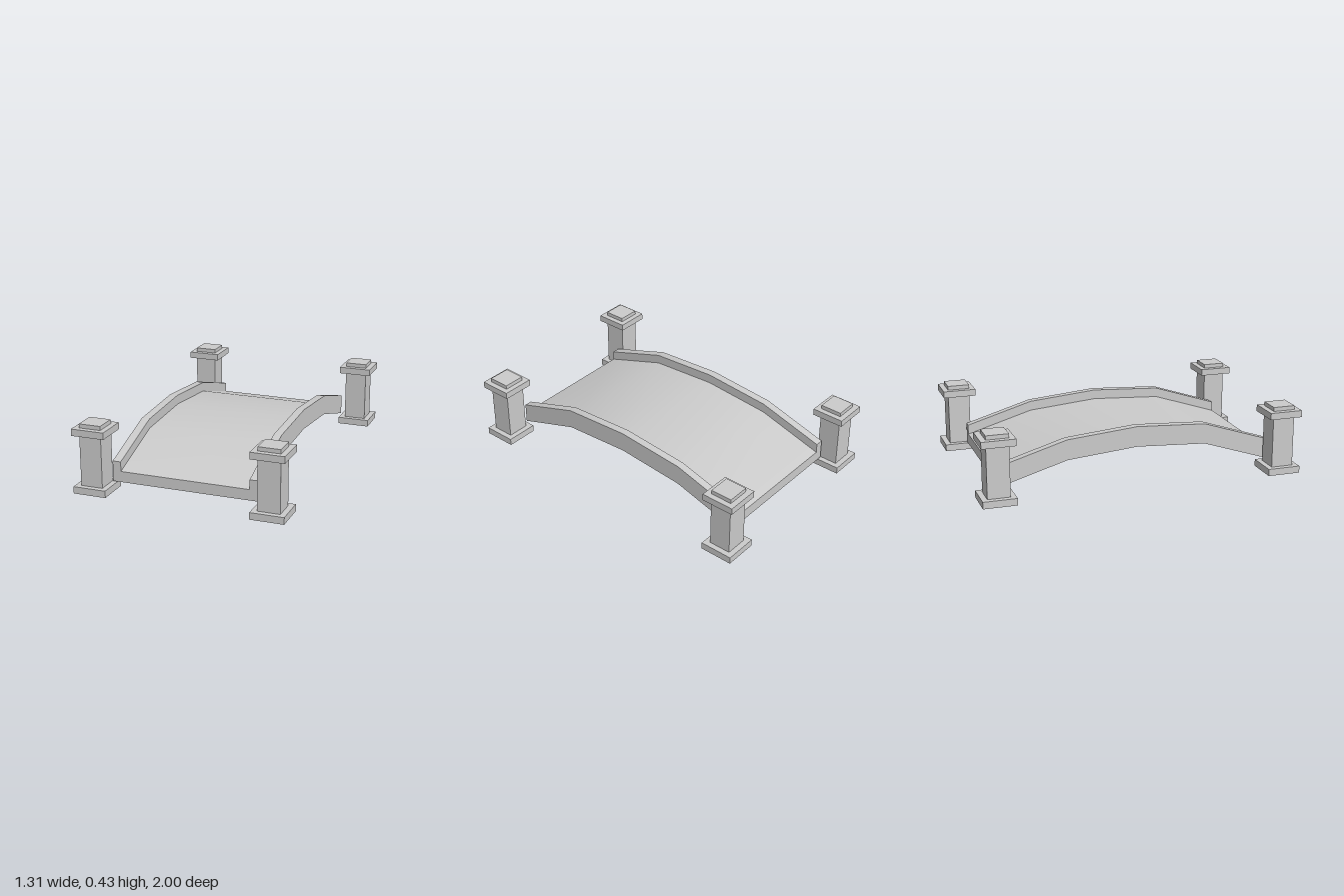
import * as THREE from 'three';
import { toCreasedNormals } from 'three/addons/utils/BufferGeometryUtils.js';

const material = new THREE.MeshStandardMaterial({ color: 0xcccccc });

// Underside of the arch, as [z, y] from back to front
const arch = [[-0.86, 0.052], [-0.44, 0.175], [0, 0.214], [0.44, 0.189], [0.855, 0.052]];

// Arched band of a given thickness, spanning x0 to x1
function archBand(name, x0, x1, thickness) {
  const lower = arch.map(([z, y]) => new THREE.Vector2(z, y));
  const upper = arch.map(([z, y]) => new THREE.Vector2(z, y + thickness)).reverse();
  const geometry = new THREE.ExtrudeGeometry(new THREE.Shape([...lower, ...upper]), {
    depth: x1 - x0, bevelEnabled: false, steps: 1,
  });
  geometry.rotateY(-Math.PI / 2).translate(x1, 0, 0);
  const mesh = new THREE.Mesh(toCreasedNormals(geometry, 0.5), material);
  mesh.name = name;
  return mesh;
}

// Square block of the post between two heights
function block(name, width, y0, y1) {
  const mesh = new THREE.Mesh(new THREE.BoxGeometry(width, y1 - y0, width), material);
  mesh.position.y = (y0 + y1) / 2;
  mesh.name = name;
  return mesh;
}

function post(name, x, z) {
  const group = new THREE.Group();
  group.name = name;
  group.add(
    block('postBase', 0.207, 0, 0.043),
    block('postShaft', 0.138, 0.043, 0.36),
    block('postCap', 0.207, 0.36, 0.402),
    block('postTop', 0.138, 0.402, 0.427),
  );
  group.position.set(x, 0, z);
  return group;
}

export function createModel() {
  const model = new THREE.Group();
  model.name = 'archedBridge';

  // Walkway and its low side walls
  model.add(
    archBand('deck', -0.413, 0.397, 0.067),
    archBand('rightParapet', -0.465, -0.413, 0.127),
    archBand('leftParapet', 0.397, 0.446, 0.127),
  );

  // Four corner posts
  for (const [side, x] of [['Left', 0.551], ['Right', -0.551]]) {
    for (const [end, z] of [['front', 0.8965], ['back', -0.8965]]) {
      model.add(post(`${end}${side}Post`, x, z));
    }
  }
  return model;
}
